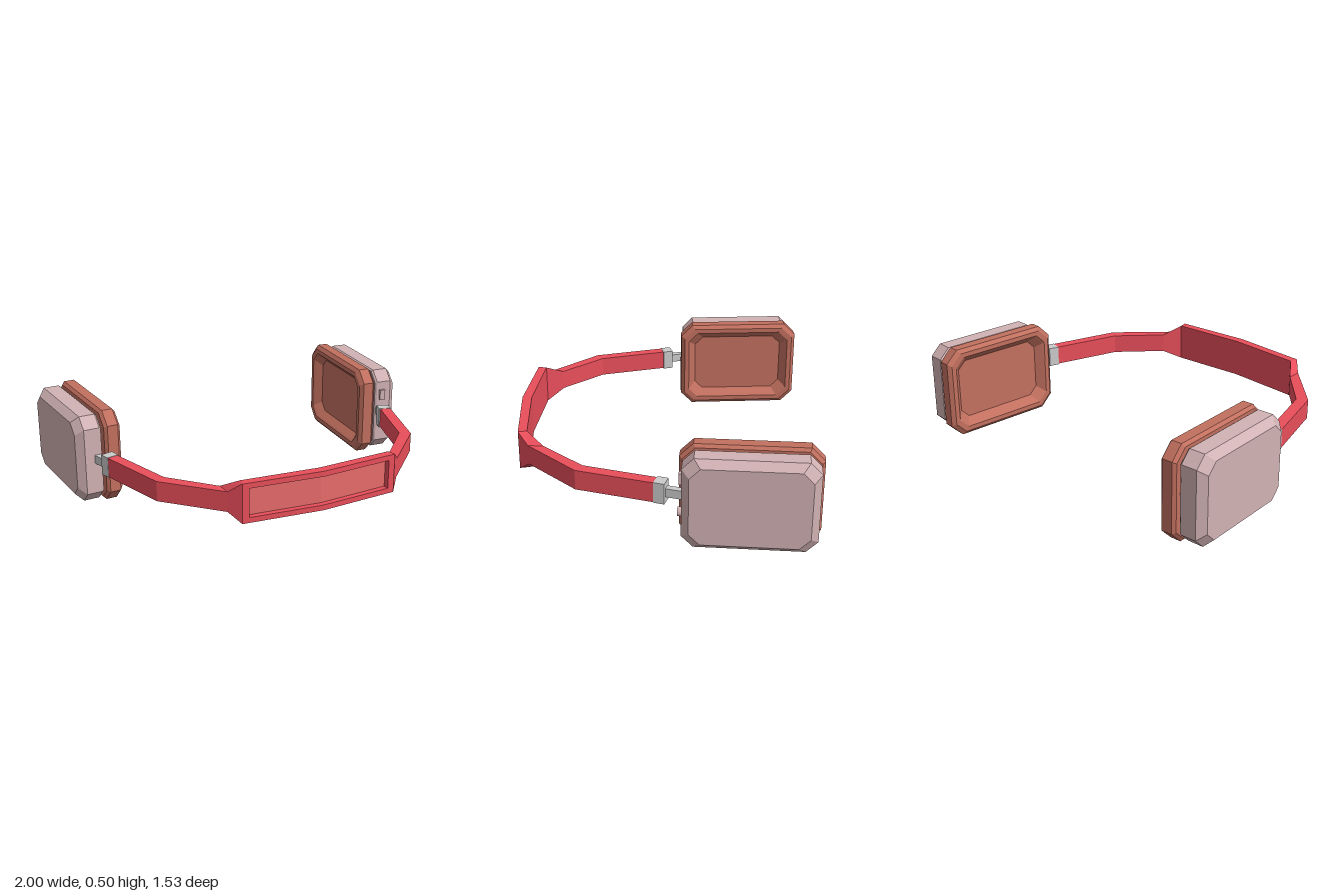
import * as THREE from 'three';

const mat = (color) => new THREE.MeshStandardMaterial({ color, flatShading: true });

function add(parent, name, geometry, material, x = 0, y = 0, z = 0) {
  const mesh = new THREE.Mesh(geometry, material);
  mesh.name = name;
  mesh.position.set(x, y, z);
  parent.add(mesh);
  return mesh;
}

// Skins a row of cross-sections (counter-clockwise seen from the far end) and caps both ends
function loft(sections) {
  const pos = [];
  const tri = (...points) => points.forEach((p) => pos.push(...p));
  const n = sections[0].length;
  for (let i = 0; i < sections.length - 1; i++) {
    const s = sections[i], t = sections[i + 1];
    for (let j = 0; j < n; j++) {
      const k = (j + 1) % n;
      tri(s[j], s[k], t[k]);
      tri(s[j], t[k], t[j]);
    }
  }
  const first = sections[0], last = sections[sections.length - 1];
  for (let j = 1; j < n - 1; j++) {
    tri(first[0], first[j + 1], first[j]);
    tri(last[0], last[j], last[j + 1]);
  }
  const g = new THREE.BufferGeometry();
  g.setAttribute('position', new THREE.Float32BufferAttribute(pos, 3));
  g.computeVertexNormals();
  return g;
}

// Rectangle with cut corners in the yz plane
const octagon = (x, hy, hz, c) => [
  [hy, -hz + c], [hy, hz - c], [hy - c, hz], [-hy + c, hz],
  [-hy, hz - c], [-hy, -hz + c], [-hy + c, -hz], [hy - c, -hz],
].map(([y, z]) => [x, y, z]);

const BAND_Y = 0.2625, CUP_Y = 0.2525;

// Band section: outer and inner points in plan, half height, groove depth in the outer face
function bandSection([ox, oz, ix, iz, h, depth]) {
  const lip = h - 0.028;
  const len = Math.hypot(ix - ox, iz - oz);
  const fx = ox + ((ix - ox) * depth) / len, fz = oz + ((iz - oz) * depth) / len;
  return [
    [ix, h, iz], [ox, h, oz], [ox, lip, oz], [fx, lip, fz],
    [fx, -lip, fz], [ox, -lip, oz], [ox, -h, oz], [ix, -h, iz],
  ];
}

const mirrored = (half) => [
  ...half.slice().reverse().map(([ox, oz, ix, iz, ...rest]) => [-ox, oz, -ix, iz, ...rest]),
  [0, 0.765, 0, 0.715, 0.103, 0.03],
  ...half,
];

function makeBand(red, inlayMat) {
  const band = new THREE.Group();
  band.name = 'headband';
  band.position.y = BAND_Y;
  const half = [
    [0.385, 0.733, 0.38, 0.687, 0.103, 0.03],
    [0.385, 0.733, 0.38, 0.687, 0.103, 0],
    [0.42, 0.73, 0.41, 0.685, 0.103, 0],
    [0.472, 0.675, 0.475, 0.597, 0.052, 0],
    [0.727, 0.417, 0.675, 0.383, 0.052, 0],
    [0.843, 0.035, 0.787, 0.018, 0.052, 0],
  ];
  add(band, 'bandFrame', loft(mirrored(half).map(bandSection)), red);

  // Thin panel lying on the floor of the groove
  const panel = [-0.384, 0, 0.384].map((x) => {
    const z = x ? 0.704 : 0.736;
    return bandSection([x, z, x, z - 0.01, 0.074, 0]);
  });
  add(band, 'bandInlay', loft(panel), inlayMat);
  return band;
}

// One ear side, built for +x; half a turn about z gives the other
function makeSide(side, mats) {
  const g = new THREE.Group();
  g.name = side > 0 ? 'leftEarpiece' : 'rightEarpiece';
  g.position.y = CUP_Y;
  if (side < 0) g.rotation.z = Math.PI;

  // Clip and arm at the end of the band
  const hinge = new THREE.Group();
  hinge.name = 'hinge';
  hinge.position.set(0.82, (BAND_Y - CUP_Y) * side, 0.002);
  hinge.rotation.y = -0.3;
  add(hinge, 'bandClip', new THREE.BoxGeometry(0.066, 0.108, 0.056), mats.metal);
  add(hinge, 'cupArm', new THREE.BoxGeometry(0.034, 0.045, 0.14), mats.metal, 0, 0, -0.075);
  g.add(hinge);

  const cup = new THREE.Group();
  cup.name = 'earCup';
  cup.position.set(0.79, 0, -0.425);
  cup.rotation.y = -0.067;
  g.add(cup);

  // Cushion: recess floor, lip, outer wall, back
  add(cup, 'earCushion', loft([
    octagon(0, 0.165, 0.255, 0.045),
    octagon(-0.035, 0.195, 0.285, 0.05),
    octagon(-0.045, 0.205, 0.295, 0.052),
    octagon(-0.045, 0.23, 0.32, 0.06),
    octagon(-0.027, 0.25, 0.34, 0.066),
    octagon(0.03, 0.25, 0.34, 0.066),
    octagon(0.045, 0.235, 0.325, 0.06),
  ]), mats.pad);
  add(cup, 'cushionMount', loft([octagon(0.04, 0.19, 0.28, 0.05), octagon(0.062, 0.19, 0.28, 0.05)]), mats.pad);
  add(cup, 'cupShell', loft([
    octagon(0.058, 0.228, 0.315, 0.055),
    octagon(0.068, 0.235, 0.322, 0.057),
    octagon(0.152, 0.235, 0.322, 0.057),
    octagon(0.19, 0.2, 0.285, 0.053),
  ]), mats.shell);

  // Controls on one cup only
  if (side > 0) {
    add(cup, 'slideSwitch', new THREE.BoxGeometry(0.032, 0.058, 0.03), mats.shell, 0.098, 0.102, 0.322);
    const knob = add(cup, 'roundButton', new THREE.CylinderGeometry(0.023, 0.023, 0.04, 12), mats.shell, 0.098, -0.077, 0.322);
    knob.rotation.x = Math.PI / 2;
  }
  return g;
}

export function createModel() {
  const mats = {
    metal: mat(0xcccccc),
    pad: mat(0xc2705f),
    shell: mat(0xd2b2b4),
  };
  const model = new THREE.Group();
  model.name = 'headphones';
  model.add(makeBand(mat(0xe84e5a), mat(0xe86c6c)));
  for (const side of [1, -1]) model.add(makeSide(side, mats));
  return model;
}
